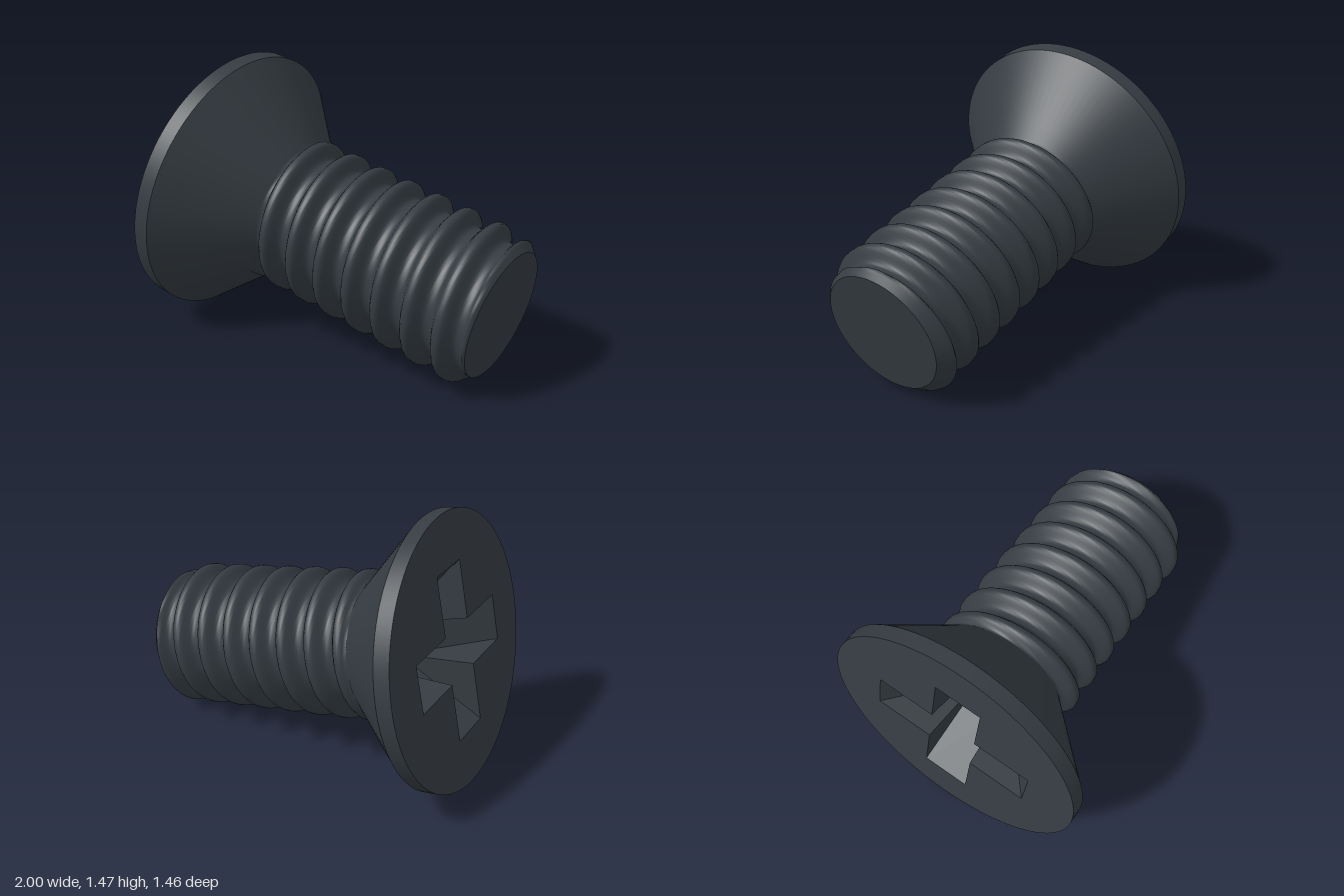
import * as THREE from 'three';

const HEAD_R = 0.735, RIM = 0.085, CONE_END = 0.4, LENGTH = 1.77;
const ROOT = 0.338, CREST = 0.41, PITCH = 0.177, START = 0.484;
const SIDES = 96;

const coneRadius = (t) => HEAD_R - 0.97 * (t - RIM);

// Radius of the threaded shank at distance t along the axis and angle a
function shankRadius(t, a) {
  const turns = (t - START) / PITCH - a / (2 * Math.PI);
  const offset = Math.abs(turns - Math.round(turns)); // 0 on the crest, 0.5 in the root
  const thread = ROOT + (CREST - ROOT) * (1 - THREE.MathUtils.smoothstep(offset, 0.06, 0.42));
  const chamfer = ROOT + (LENGTH - t);
  return Math.min(Math.max(thread, coneRadius(t)), chamfer);
}

// Helical surface swept along local z
function shankGeometry() {
  const rows = 126, pos = [], index = [];
  for (let i = 0; i <= rows; i++) {
    const t = CONE_END + (LENGTH - CONE_END) * i / rows;
    for (let j = 0; j < SIDES; j++) {
      const a = 2 * Math.PI * j / SIDES, r = shankRadius(t, a);
      pos.push(r * Math.cos(a), r * Math.sin(a), t);
      if (i === rows) continue;
      const p = i * SIDES + j, q = i * SIDES + (j + 1) % SIDES;
      index.push(p, q, p + SIDES, q, q + SIDES, p + SIDES);
    }
  }
  const geo = new THREE.BufferGeometry();
  geo.setAttribute('position', new THREE.Float32BufferAttribute(pos, 3));
  geo.setIndex(index);
  geo.computeVertexNormals();
  return geo;
}

// Outline of a cross with arm length l and half width w, counter-clockwise
function crossOutline(l, w) {
  const pts = [];
  for (let k = 0; k < 4; k++) {
    for (const [x, y] of [[l, -w], [l, w], [w, w]]) {
      pts.push(new THREE.Vector2(x, y).rotateAround(new THREE.Vector2(), k * Math.PI / 2));
    }
  }
  return pts;
}

// Tapering walls of the driver recess, facing inward
function recessWalls(top, bottom, depth) {
  const pos = [];
  top.forEach((a, i) => {
    const n = (i + 1) % top.length, b = top[n], c = bottom[n], d = bottom[i];
    pos.push(a.x, a.y, 0, d.x, d.y, depth, b.x, b.y, 0);
    pos.push(b.x, b.y, 0, d.x, d.y, depth, c.x, c.y, depth);
  });
  const geo = new THREE.BufferGeometry();
  geo.setAttribute('position', new THREE.Float32BufferAttribute(pos, 3));
  geo.computeVertexNormals();
  return geo;
}

// Open band of revolution around local z
function band(r0, t0, r1, t1) {
  return new THREE.LatheGeometry([new THREE.Vector2(r0, t0), new THREE.Vector2(r1, t1)], SIDES)
    .rotateX(Math.PI / 2);
}

export function createModel() {
  const group = new THREE.Group();
  group.name = 'countersunkScrew';
  const steel = new THREE.MeshStandardMaterial({ color: 0x353c42 });
  steel.name = 'blackened steel';
  const inner = steel.clone();
  inner.side = THREE.DoubleSide;

  const screw = new THREE.Group();
  screw.name = 'screw';
  group.add(screw);
  const add = (name, geo, mat = steel) => {
    const mesh = new THREE.Mesh(geo, mat);
    mesh.name = name;
    screw.add(mesh);
    return mesh;
  };

  // Head: flat face with a cross opening, thin rim and countersunk cone
  const top = crossOutline(0.455, 0.13), bottom = crossOutline(0.16, 0.1), depth = 0.34;
  const face = new THREE.Shape().absarc(0, 0, HEAD_R, 0, 2 * Math.PI);
  face.holes.push(new THREE.Path(top.slice().reverse()));
  add('headFace', new THREE.ShapeGeometry(face, SIDES).rotateY(Math.PI));
  add('headRim', band(HEAD_R, 0, HEAD_R, RIM));
  add('headCone', band(HEAD_R, RIM, coneRadius(CONE_END), CONE_END));

  // Driver recess
  add('recessWalls', recessWalls(top, bottom, depth), inner);
  add('recessFloor', new THREE.ShapeGeometry(new THREE.Shape(bottom)).rotateY(Math.PI))
    .position.z = depth;

  // Threaded shank and flat tip
  add('threadedShank', shankGeometry());
  add('tip', new THREE.CircleGeometry(ROOT, SIDES)).position.z = LENGTH;

  // Tilt the axis: local z runs from the head to the tip
  const axis = new THREE.Vector3(1, -0.213, 0.215).normalize();
  const up = new THREE.Vector3(0, 1, 0).addScaledVector(axis, -axis.y).normalize();
  const side = new THREE.Vector3().crossVectors(up, axis);
  screw.quaternion.setFromRotationMatrix(new THREE.Matrix4().makeBasis(side, up, axis));
  screw.position.set(-0.787, 0.739, -0.009);
  return group;
}
